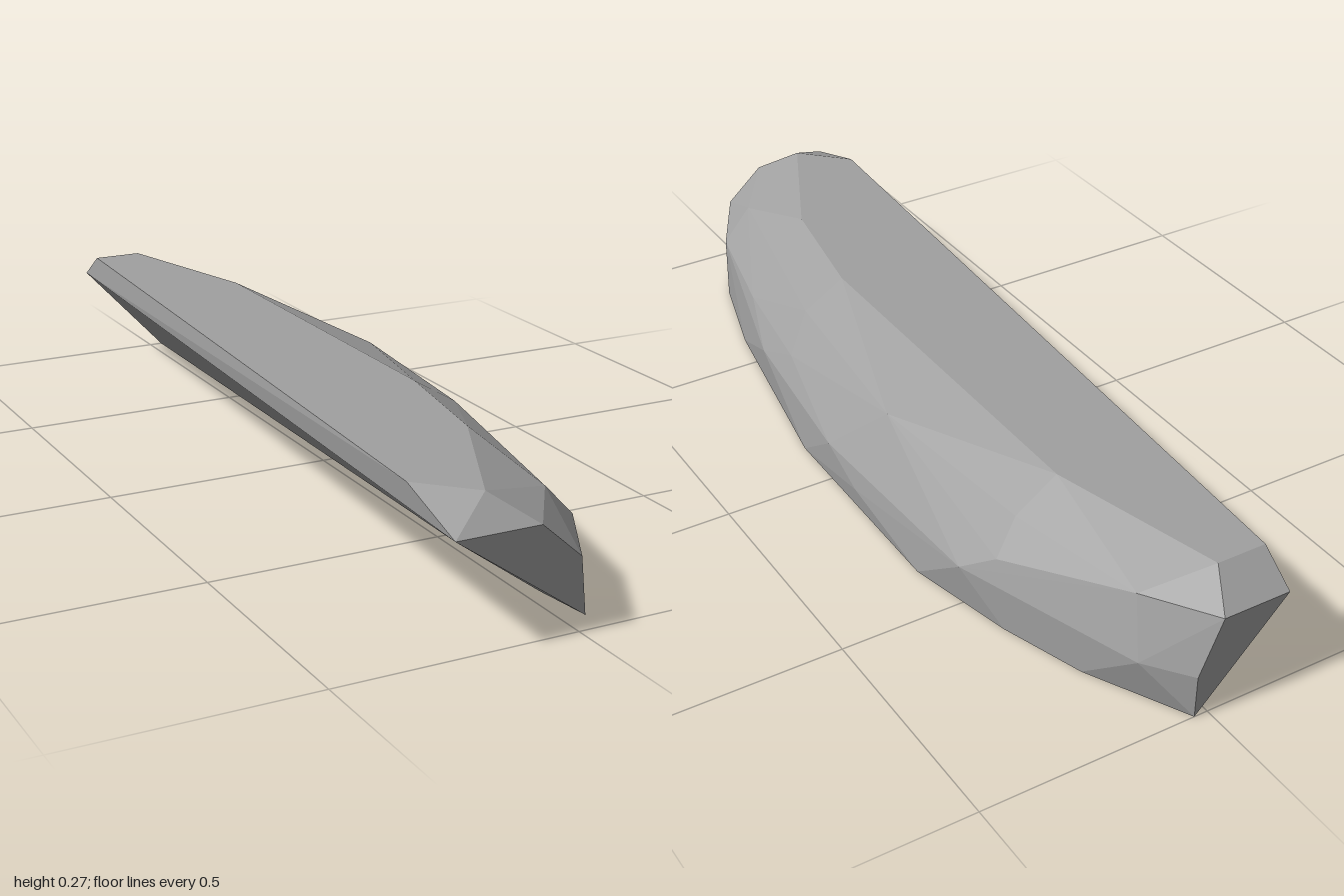
import * as THREE from 'three';
import { ConvexGeometry } from 'three/addons/geometries/ConvexGeometry.js';

export function createModel() {
  const group = new THREE.Group();
  group.name = 'rockLedge';
  const stone = new THREE.MeshStandardMaterial({ color: 0xa0a0a0, flatShading: true });
  stone.name = 'grey stone';

  // Corner rings as [x, z] at a shared height, from front to back
  const rings = [
    // flat base
    [0, [[0.035, 0.82], [0.1, 0.82], [0.165, 0.6], [0.25, 0.13], [0.255, -0.37], [0.2, -0.61], [0.14, -0.79], [0.03, -1]]],
    // widest belt
    [0.095, [[0.21, 0.4], [0.257, 0], [0.237, -0.5], [0.1, -0.91], [0.03, -1]]],
    [0.05, [[0.26, -0.12]]],
    // shoulder
    [0.145, [[0, 1], [0.1, 0.82], [0.16, 0.55], [0.2, 0.28], [0.195, -0.57]]],
    // upper shoulder
    [0.215, [[0.03, 0.83], [0.135, 0.33], [0.18, -0.12], [0.14, -0.55], [0.075, -0.86], [-0.02, -1], [-0.17, -1]]],
    [0.22, [[-0.26, 1], [-0.085, 1]]],
    // flat top
    [0.272, [[-0.26, 0.83], [-0.16, 0.93], [-0.01, 0.62], [0.04, 0.33], [0.04, -0.54], [-0.06, -0.92], [-0.17, -0.92]]],
    // lower tip of the front face
    [0.03, [[0.012, 1]]],
  ];
  const points = rings.flatMap(([y, ring]) => ring.map(([x, z]) => new THREE.Vector3(x, y, z)));

  const rock = new THREE.Mesh(new ConvexGeometry(points), stone);
  rock.name = 'rock';
  group.add(rock);
  return group;
}
